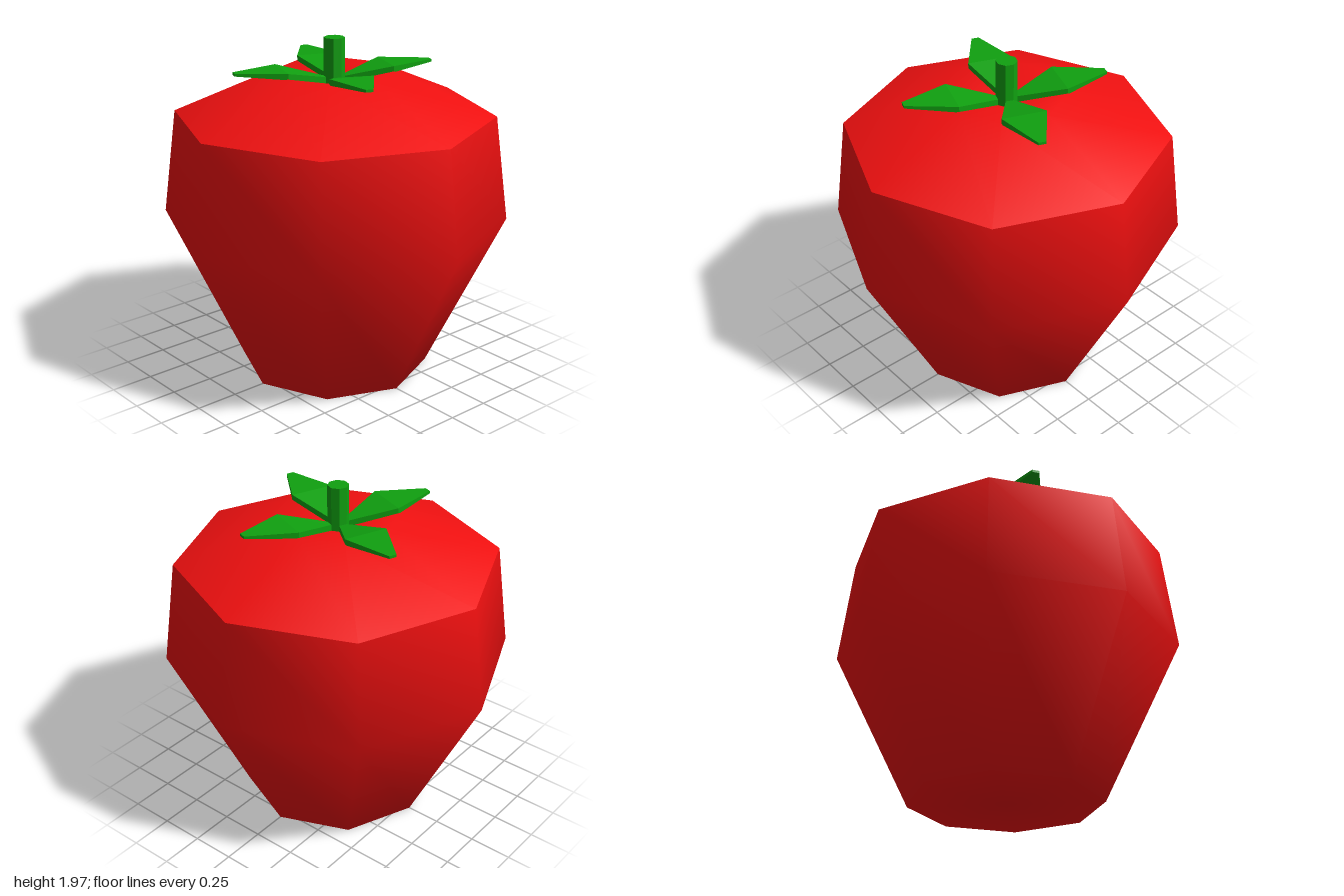
import * as THREE from 'three';

const SIDES = 8;

// Smooth-shaded octagonal solid turned from [radius, height] pairs, bottom to top
function turned(name, profile, material) {
  const points = profile.map(([r, y]) => new THREE.Vector2(r, y));
  const mesh = new THREE.Mesh(new THREE.LatheGeometry(points, SIDES), material);
  mesh.name = name;
  return mesh;
}

// Leaf lofted through quad sections: two plan corners [x, z], top and bottom height
function leafGeometry() {
  const sections = [
    { a: [0.06, 0], b: [0.042, 0.042], top: 1.75, bottom: 1.71 },
    { a: [0.33, 0], b: [0.237, 0.237], top: 1.81, bottom: 1.775 },
    { a: [0.545, 0.2], b: [0.53, 0.24], top: 1.808, bottom: 1.793 },
  ];
  const positions = [];
  for (const { a, b, top, bottom } of sections) {
    positions.push(a[0], top, a[1], b[0], top, b[1], b[0], bottom, b[1], a[0], bottom, a[1]);
  }
  const index = [];
  const quad = (p, q, r, s) => index.push(p, q, r, p, r, s);
  for (let i = 0; i < sections.length - 1; i++) {
    for (let k = 0; k < 4; k++) {
      const n = (k + 1) % 4;
      quad(i * 4 + k, i * 4 + n, i * 4 + 4 + n, i * 4 + 4 + k);
    }
  }
  const last = (sections.length - 1) * 4;
  quad(3, 2, 1, 0);
  quad(last, last + 1, last + 2, last + 3);
  const indexed = new THREE.BufferGeometry();
  indexed.setAttribute('position', new THREE.Float32BufferAttribute(positions, 3));
  indexed.setIndex(index);
  const geometry = indexed.toNonIndexed();
  geometry.computeVertexNormals();
  return geometry;
}

export function createModel() {
  const model = new THREE.Group();
  model.name = 'fruit';
  const red = new THREE.MeshStandardMaterial({ color: 0xf01010 });
  const green = new THREE.MeshStandardMaterial({ color: 0x10a010, flatShading: true });

  // Fruit: tapering sides, then a hard edge to the shoulder with a sunken middle
  model.add(turned('fruitBody', [[0, 0], [0.55, 0], [1, 0.92], [0.92, 1.53]], red));
  model.add(turned('fruitTop', [[0.92, 1.53], [0.335, 1.78], [0, 1.7]], red));

  // Stem
  const stem = new THREE.Mesh(new THREE.CylinderGeometry(0.06, 0.06, 0.27, SIDES), green);
  stem.name = 'stem';
  stem.position.y = 1.835;
  model.add(stem);

  // Four leaves around the stem
  const leaf = leafGeometry();
  for (let i = 0; i < 4; i++) {
    const mesh = new THREE.Mesh(leaf, green);
    mesh.name = `leaf${i + 1}`;
    mesh.rotation.y = (i * Math.PI) / 2;
    model.add(mesh);
  }
  return model;
}
